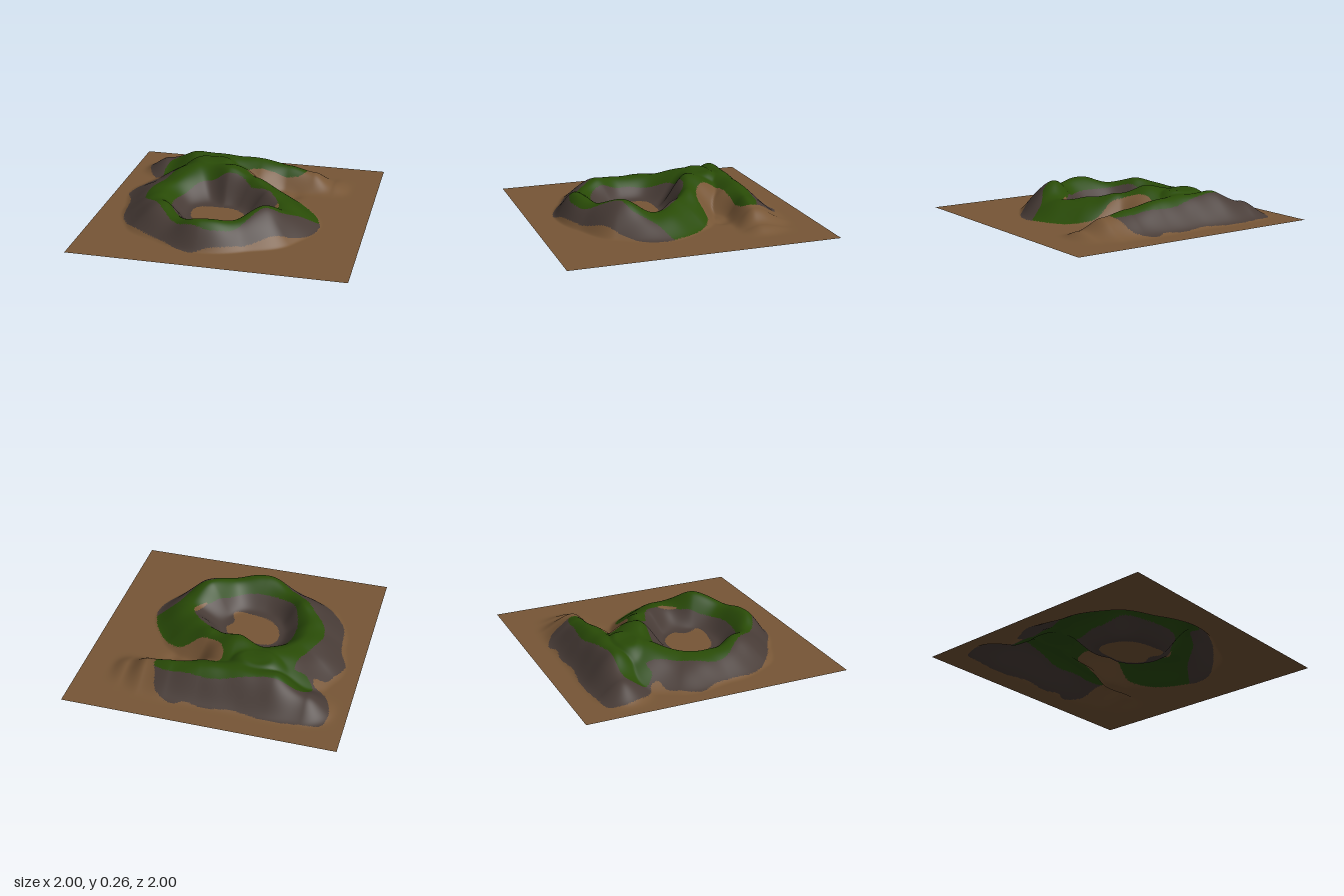
import * as THREE from 'three';

const BASE = 0.015;
const CELLS = 220;
const CENTRE = [-0.1, 0.17];

// ring hill, every 30 degrees from +x towards +z: inner foot, crest radius, crest height, outer foot
const RING = [
  [0.18, 0.50, 0.155, 0.78], [0.20, 0.45, 0.25, 0.72], [0.19, 0.45, 0.19, 0.635],
  [0.18, 0.46, 0.21, 0.63], [0.19, 0.42, 0.155, 0.62], [0.21, 0.41, 0.20, 0.70],
  [0.21, 0.45, 0.165, 0.74], [0.23, 0.49, 0.17, 0.88], [0.20, 0.55, 0.235, 0.98],
  [0.16, 0.41, 0.265, 0.88], [0.18, 0.40, 0.22, 0.61], [0.20, 0.40, 0.185, 0.70],
];

// back ridge along x: x, back foot z, crest z, crest height, front foot z
const RIDGE = [
  [-0.95, -0.80, -0.64, 0.015, -0.45], [-0.70, -0.86, -0.62, 0.14, -0.36],
  [-0.45, -0.87, -0.57, 0.235, -0.25], [-0.20, -0.86, -0.56, 0.235, -0.15],
  [0.08, -0.86, -0.57, 0.22, -0.22], [0.30, -0.87, -0.56, 0.185, -0.38],
  [0.50, -0.86, -0.54, 0.145, -0.36], [0.66, -0.82, -0.53, 0.07, -0.34],
  [0.82, -0.78, -0.52, 0.015, -0.36],
];

// colour outlines seen from above, as x, z pairs
const HILL = [
  -0.76, -0.43, -0.82, -0.5, -0.87, -0.65, -0.84, -0.78, -0.7, -0.81, -0.45, -0.83, -0.2, -0.8,
  0, -0.82, 0.15, -0.8, 0.23, -0.83, 0.38, -0.75, 0.41, -0.65, 0.44, -0.56, 0.4, -0.5, 0.2, -0.48,
  0, -0.45, -0.03, -0.41, 0.02, -0.3, 0.18, -0.22, 0.35, -0.24, 0.47, -0.18, 0.6, -0.02,
  0.65, 0.1, 0.67, 0.18, 0.64, 0.32, 0.5, 0.48, 0.38, 0.57, 0.25, 0.66, 0.1, 0.73, -0.08, 0.78,
  -0.15, 0.8, -0.25, 0.77, -0.4, 0.68, -0.55, 0.6, -0.7, 0.48, -0.78, 0.35, -0.8, 0.2,
  -0.82, 0.05, -0.88, -0.1, -0.82, -0.25, -0.78, -0.32, -0.7, -0.35, -0.71, -0.41,
];
const GRASS = [
  0.7, 0.08, 0.52, 0.22, 0.4, 0.37, 0.3, 0.42, 0.2, 0.55, 0.12, 0.64, -0.05, 0.69, -0.25, 0.63,
  -0.4, 0.5, -0.55, 0.32, -0.65, 0.2, -0.67, 0.05, -0.62, -0.1, -0.57, -0.25, -0.56, -0.38,
  -0.64, -0.37, -0.71, -0.45, -0.68, -0.57, -0.6, -0.6, -0.4, -0.6, -0.2, -0.63, 0, -0.66,
  0.2, -0.64, 0.38, -0.62, 0.46, -0.56, 0.42, -0.46, 0.2, -0.35, 0.5, -0.25, 0.65, -0.05,
];
const BOWL = [
  0.34, 0.1, 0.22, -0.05, 0.1, -0.1, 0, -0.18, -0.15, -0.19, -0.3, -0.18, -0.4, -0.05,
  -0.45, 0.1, -0.43, 0.27, -0.35, 0.42, -0.25, 0.48, -0.08, 0.5, 0.05, 0.47, 0.15, 0.38,
  0.25, 0.27, 0.33, 0.17,
];
const FLOOR = [
  -0.32, 0.1, -0.28, 0.02, -0.15, 0, -0.02, 0.01, 0.06, 0.06, 0.1, 0.14, 0.06, 0.22, 0.09, 0.32,
  0.05, 0.35, -0.1, 0.34, -0.2, 0.31, -0.28, 0.24,
];
const BARE_SPOT = [0.34, 0.11, 0.36, 0.16, 0.28, 0.25, 0.32, 0.16];

// smooth closed outline through the points
function outline(flat) {
  const pts = [];
  for (let i = 0; i < flat.length; i += 2) pts.push(new THREE.Vector3(flat[i], flat[i + 1], 0));
  return new THREE.CatmullRomCurve3(pts, true).getPoints(pts.length * 5);
}

function inside(poly, x, z) {
  let hit = false;
  for (let i = 0, j = poly.length - 1; i < poly.length; j = i++) {
    const a = poly[i], b = poly[j];
    if ((a.y > z) !== (b.y > z) && x < ((b.x - a.x) * (z - a.y)) / (b.y - a.y) + a.x) hit = !hit;
  }
  return hit;
}

// eased blend between two table rows
const blend = (a, b, t) => a.map((v, i) => THREE.MathUtils.lerp(v, b[i], t * t * (3 - 2 * t)));

// smooth rise from one foot to the crest, then a fall that is steeper at the far foot by "bulge"
function hump(v, foot, crest, farFoot, height, bulge) {
  if (v < crest) return (height - BASE) * THREE.MathUtils.smoothstep(v, foot, crest);
  const t = Math.min(1, (v - crest) / (farFoot - crest));
  return (height - BASE) * (1 - THREE.MathUtils.lerp(t * t * (3 - 2 * t), t * t, bulge));
}

function ringHeight(x, z) {
  const dx = x - CENTRE[0], dz = z - CENTRE[1];
  const a = ((Math.atan2(dz, dx) / (Math.PI * 2) + 1) % 1) * 12;
  const i = Math.floor(a) % 12;
  const [inner, crest, h, outer] = blend(RING[i], RING[(i + 1) % 12], a - Math.floor(a));
  return hump(Math.hypot(dx, dz), inner, crest, outer, h, 0.55);
}

function ridgeHeight(x, z) {
  const i = RIDGE.findIndex((r) => r[0] > x);
  if (i < 1) return 0;
  const p = RIDGE[i - 1], q = RIDGE[i];
  const [, back, crest, h, front] = blend(p, q, (x - p[0]) / (q[0] - p[0]));
  return hump(z, back, crest, front, h, 0);
}

// saddle that joins the ring to the back ridge
function saddleHeight(x, z) {
  const d = Math.hypot((x + 0.29) / 0.42, (z + 0.42) / 0.27);
  return 0.225 * (1 - THREE.MathUtils.smoothstep(d, 0.25, 1));
}

const smoothMax = (a, b, k) => 0.5 * (a + b + Math.sqrt((a - b) ** 2 + k * k) - k);

function height(x, z) {
  const h = smoothMax(smoothMax(ringHeight(x, z), ridgeHeight(x, z), 0.012), saddleHeight(x, z), 0.012);
  const bumps = 0.025 * h * Math.sin(x * 21 + z * 9) * Math.sin(z * 19 - x * 6);
  const dip = BASE * Math.exp(-((x - 0.38) ** 2 + (z + 0.34) ** 2) / 0.003);
  return Math.max(0, BASE + h + bumps - dip);
}

export function createModel() {
  const group = new THREE.Group();
  group.name = 'hillTerrain';

  const material = (name, color) => {
    const m = new THREE.MeshStandardMaterial({ color, side: THREE.DoubleSide });
    m.name = name;
    return m;
  };
  const materials = [material('earth', 0x775636), material('rock', 0x473b36), material('grass', 0x294b07)];

  // height field
  const geo = new THREE.PlaneGeometry(2, 2, CELLS, CELLS).rotateX(-Math.PI / 2);
  const pos = geo.attributes.position;
  for (let i = 0; i < pos.count; i++) pos.setY(i, height(pos.getX(i), pos.getZ(i)));
  geo.computeVertexNormals();

  // sort the triangles into earth, rock and grass
  const [hill, grass, bowl, floor, spot] = [HILL, GRASS, BOWL, FLOOR, BARE_SPOT].map(outline);
  const kind = (x, z) => {
    if (!inside(hill, x, z) || inside(floor, x, z) || inside(spot, x, z)) return 0;
    return inside(grass, x, z) && !inside(bowl, x, z) ? 2 : 1;
  };
  const faces = [[], [], []];
  const index = geo.index.array;
  for (let i = 0; i < index.length; i += 3) {
    const tri = [index[i], index[i + 1], index[i + 2]];
    const x = tri.reduce((s, v) => s + pos.getX(v), 0) / 3;
    const z = tri.reduce((s, v) => s + pos.getZ(v), 0) / 3;
    faces[kind(x, z)].push(...tri);
  }
  geo.setIndex(faces.flat());
  let start = 0;
  faces.forEach((f, i) => {
    geo.addGroup(start, f.length, i);
    start += f.length;
  });

  const terrain = new THREE.Mesh(geo, materials);
  terrain.name = 'terrain';
  group.add(terrain);
  return group;
}
